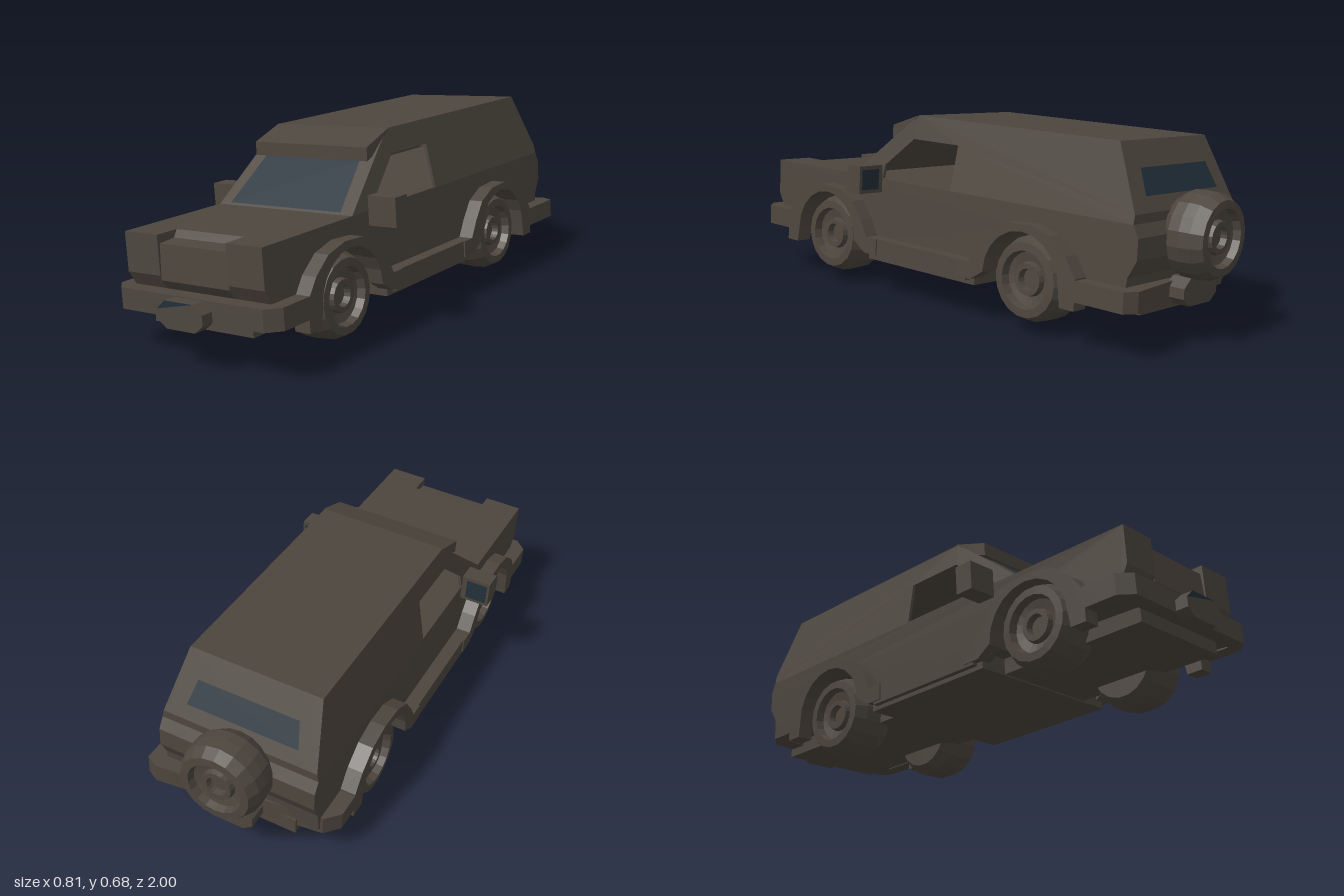
import * as THREE from 'three';

export function createModel() {
  const paint = new THREE.MeshStandardMaterial({ color: 0x4d463e, flatShading: true, side: THREE.DoubleSide });
  paint.name = 'drab paint';
  const glass = new THREE.MeshStandardMaterial({ color: 0x22303a, flatShading: true, side: THREE.DoubleSide });
  glass.name = 'dark glass';

  const root = new THREE.Group();
  root.name = 'offRoadCar';
  // the car leans sideways
  const car = new THREE.Group();
  car.name = 'leaningCar';
  car.rotation.z = 0.067;
  car.position.x = 0.025;
  root.add(car);

  const add = (name, geo, mat = paint) => {
    const mesh = new THREE.Mesh(geo, mat);
    mesh.name = name;
    car.add(mesh);
    return mesh;
  };
  const toShape = pts => new THREE.Shape(pts.map(p => new THREE.Vector2(p[0], p[1])));
  // side outline (z, y) swept from x0 to x1
  const sweepX = (shape, x0, x1) => {
    const g = new THREE.ExtrudeGeometry(shape, { depth: x1 - x0, bevelEnabled: false });
    return g.rotateY(-Math.PI / 2).translate(x1, 0, 0);
  };
  // plan outline (x, z) swept from y0 to y1
  const sweepY = (pts, y0, y1) => {
    const g = new THREE.ExtrudeGeometry(toShape(pts), { depth: y1 - y0, bevelEnabled: false });
    return g.rotateX(Math.PI / 2).translate(0, y1, 0);
  };
  // symmetrical sloping panel: bottom half width, y, z then top half width, y, z
  const panel = ([bx, by, bz], [tx, ty, tz]) => {
    const g = new THREE.BufferGeometry();
    g.setAttribute('position', new THREE.Float32BufferAttribute(
      [-bx, by, bz, bx, by, bz, tx, ty, tz, -tx, ty, tz], 3));
    g.setIndex([0, 1, 2, 0, 2, 3]);
    g.computeVertexNormals();
    return g;
  };
  const box = (w, h, d, x, y, z) => new THREE.BoxGeometry(w, h, d).translate(x, y, z);
  const arch = (cz, r, from, to) => Array.from({ length: 11 }, (_, i) => {
    const a = from + (to - from) * i / 10;
    return [cz + r * Math.cos(a), 0.175 + r * Math.sin(a)];
  });

  const FRONT = 0.555, REAR = -0.445;
  // lower body: outer strips with wheel arches, centre strip with grille notch
  const outer = [
    [-0.85, 0.45], [0.2, 0.42], [0.925, 0.42], [0.925, 0.285], [0.895, 0.235], [0.895, 0.17],
    ...arch(FRONT, 0.17, 0, Math.PI), ...arch(REAR, 0.17, 0, Math.PI),
    [-0.83, 0.17], [-0.84, 0.25], [-0.872, 0.31], [-0.872, 0.38]];
  outer[0] = [-0.85, 0.42];
  const centre = [
    [-0.85, 0.42], [0.835, 0.42], [0.85, 0.395], [0.915, 0.39], [0.922, 0.27],
    [0.895, 0.235], [0.895, 0.17], [-0.83, 0.17], [-0.84, 0.25], [-0.872, 0.31], [-0.872, 0.38]];
  add('bodyCentre', sweepX(toShape(centre), -0.145, 0.145));

  // cabin side with an open window
  const sideOutline = [[0.465, 0.42], [0.25, 0.6], [0.165, 0.667], [-0.745, 0.667], [-0.85, 0.45], [-0.85, 0.42]];
  const windowOutline = [[0.3, 0.422], [0.3, 0.47], [0.17, 0.58], [-0.055, 0.58], [-0.055, 0.422]];

  // flare outline around a wheel, measured from its centre
  const flare = (cz, s) => toShape([
    [0.235, 0.12], [0.235, 0.225], [0.19, 0.29], [0.12, 0.345], [0.03, 0.368], [-0.07, 0.362],
    [-0.15, 0.325], [-0.2, 0.26], [-0.235, 0.2], [-0.29, 0.2], [-0.29, 0.14], [-0.225, 0.14], [-0.17, 0.175],
    ...arch(0, 0.167, Math.PI, 0), [0.175, 0.12]].map(([z, y]) => [cz + s * z, y]));

  // wheel profile: radius, distance along the axle
  const wheelProfile = [
    [0, -0.09], [0.12, -0.09], [0.147, -0.045], [0.15, 0], [0.147, 0.045], [0.128, 0.088], [0.1, 0.09],
    [0.093, 0.062], [0.06, 0.055], [0.055, 0.075], [0.037, 0.075], [0.034, 0.05], [0, 0.05]
  ].map(p => new THREE.Vector2(p[0], p[1]));
  const wheel = () => new THREE.LatheGeometry(wheelProfile, 18);

  for (const s of [1, -1]) {
    const side = s > 0 ? 'left' : 'right';
    const span = (shape, a, b) => sweepX(shape, Math.min(s * a, s * b), Math.max(s * a, s * b));
    add(side + 'LowerBody', span(toShape(outer), 0.145, 0.29));

    const wall = toShape(sideOutline);
    wall.holes.push(new THREE.Path(windowOutline.map(p => new THREE.Vector2(p[0], p[1]))));
    const wallGeo = span(wall, 0.278, 0.29);
    const pos = wallGeo.attributes.position;
    for (let i = 0; i < pos.count; i++) pos.setX(i, pos.getX(i) - s * (pos.getY(i) - 0.42) * 0.2);
    add(side + 'CabinSide', wallGeo);

    add(side + 'FrontFlare', span(flare(FRONT, 1), 0.285, 0.345));
    add(side + 'RearFlare', span(flare(REAR, -1), 0.285, 0.345));
    add(side + 'Rocker', box(0.06, 0.07, 0.5, s * 0.31, 0.165, 0.055));

    add(side + 'Mirror', box(0.11, 0.102, 0.07, s * 0.345, 0.42, 0.337));
    add(side + 'MirrorGlass', box(0.08, 0.075, 0.004, s * 0.35, 0.42, 0.301), glass);

    for (const [name, z] of [['Front', FRONT], ['Rear', REAR]]) {
      const lift = s < 0 ? (z > 0 ? 0.025 : -0.005) : 0;
      add(side + name + 'Wheel', wheel().rotateZ(-s * Math.PI / 2).translate(s * 0.23, 0.175 + lift, z));
    }
  }

  // cabin shell
  add('roof', panel([0.241, 0.667, 0.165], [0.241, 0.667, -0.745]));
  add('windshieldFrame', panel([0.29, 0.42, 0.465], [0.254, 0.6, 0.25]));
  add('windshield', panel([0.24, 0.428, 0.461], [0.205, 0.575, 0.285]), glass);
  add('visor', sweepX(toShape([[0.165, 0.667], [0.3, 0.62], [0.3, 0.572], [0.23, 0.6]]), -0.245, 0.245));
  add('rearPanel', panel([0.284, 0.45, -0.85], [0.241, 0.667, -0.745]));
  add('rearLowerPanel', panel([0.29, 0.42, -0.85], [0.284, 0.45, -0.85]));
  add('rearWindow', panel([0.205, 0.5, -0.831], [0.185, 0.584, -0.79]), glass);

  // floor
  add('floorPan', box(0.42, 0.06, 1.74, 0, 0.15, 0.03));
  add('floorMiddle', box(0.64, 0.06, 0.55, 0, 0.145, 0.055));

  // bumpers
  add('frontBumper', sweepY([[-0.345, 0.76], [-0.345, 0.91], [-0.3, 0.955], [0.3, 0.955], [0.345, 0.91],
    [0.345, 0.76], [0.285, 0.76], [0.285, 0.9], [-0.285, 0.9], [-0.285, 0.76]], 0.165, 0.238));
  add('rearBumper', sweepY([[-0.345, -0.63], [-0.345, -0.77], [-0.3, -0.82], [0.3, -0.895], [0.345, -0.87],
    [0.345, -0.63], [0.285, -0.63], [0.285, -0.8], [-0.285, -0.76], [-0.285, -0.63]], 0.15, 0.22));

  // octagonal winch and tow block
  const octagon = [[-0.095, 0.17], [-0.06, 0.143], [0.06, 0.143], [0.095, 0.17],
    [0.095, 0.205], [0.06, 0.235], [-0.06, 0.235], [-0.095, 0.205]];
  const block = (z, depth) => new THREE.ExtrudeGeometry(toShape(octagon), { depth, bevelEnabled: false }).translate(0, 0, z);
  add('winch', block(0.95, 0.05));
  add('winchGlass', new THREE.ShapeGeometry(toShape([[-0.095, 0.205], [0.06, 0.235], [-0.06, 0.235]])).translate(0, 0, 1.001), glass);
  add('towBlock', block(-0.925, 0.07));

  // spare wheel
  add('spareWheel', wheel().rotateX(-Math.PI / 2).scale(0.98, 0.98, 0.9).translate(0, 0.37, -0.919));
  return root;
}
